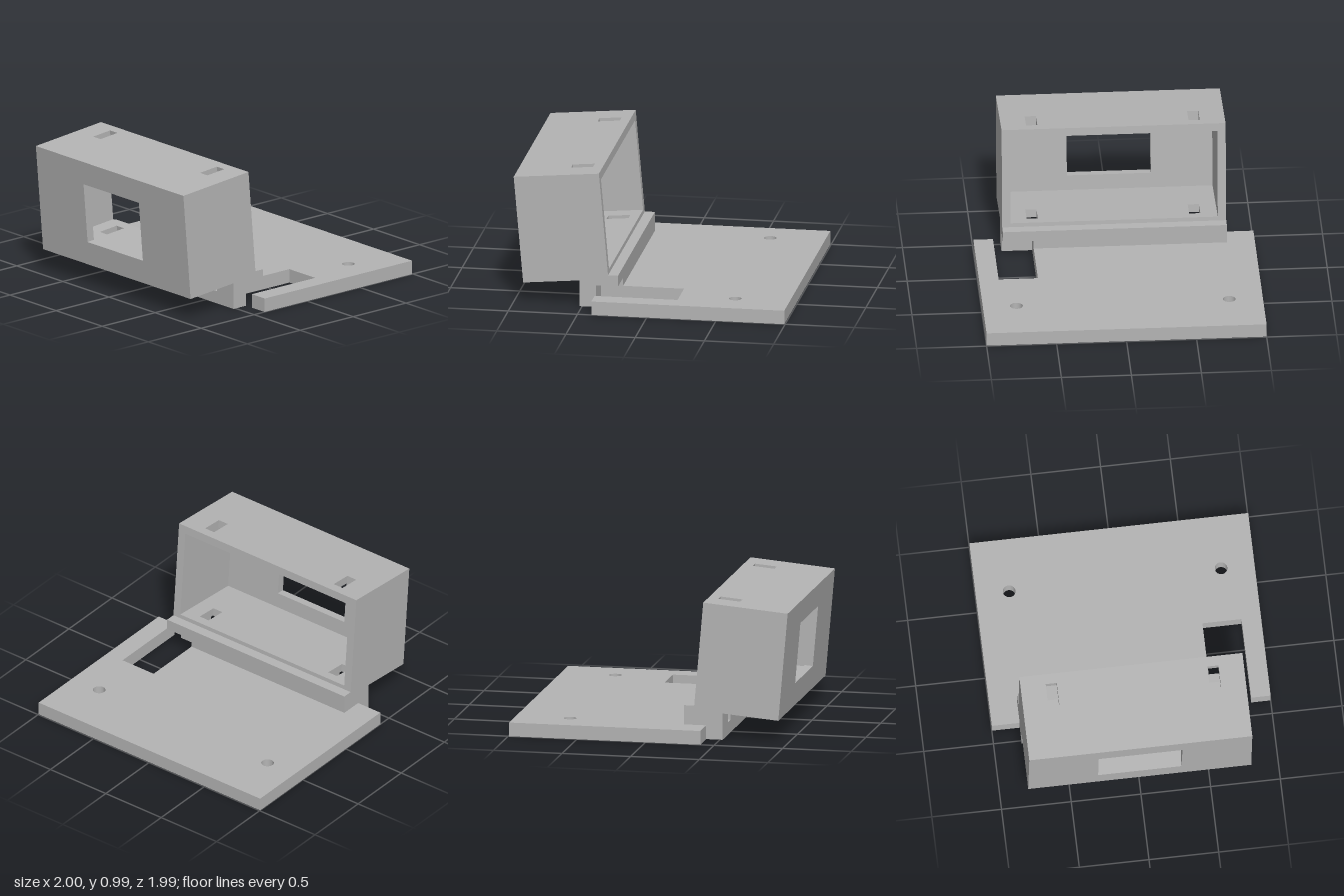
import * as THREE from 'three';

const TILT = THREE.MathUtils.degToRad(5);
const PIVOT = { y: 0.21, z: 0.31 };            // lower back edge of the tilted housing
const W = 0.8, H = 0.786, D = 0.618, T = 0.06; // housing half width, height, depth, wall
const SLOT = { x0: 0.54, x1: 0.62, back: 0.072, front: 0.232, drop: -0.1 };

const poly = (pts) => new THREE.Shape(pts.map(([a, b]) => new THREE.Vector2(a, b)));
const rect = (x0, y0, x1, y1) => poly([[x0, y0], [x1, y0], [x1, y1], [x0, y1]]);
const extrude = (shape, depth) =>
  new THREE.ExtrudeGeometry(shape, { depth, bevelEnabled: false, curveSegments: 24 });

// shape drawn in x/z, thickness hanging down from yTop
const slab = (shape, yTop, thick) =>
  extrude(shape, thick).rotateX(Math.PI / 2).translate(0, yTop, 0);

// cross-section drawn in z/y, swept from x0 to x1
const sweep = (pts, x0, x1) =>
  extrude(poly(pts), x1 - x0).rotateY(-Math.PI / 2).translate(x1, 0, 0);

// point of the tilted housing frame (depth w, height v) as [z, y]
const tilted = (w, v) => [
  PIVOT.z + w * Math.cos(TILT) + v * Math.sin(TILT),
  PIVOT.y - w * Math.sin(TILT) + v * Math.cos(TILT),
];

export function createModel() {
  const model = new THREE.Group();
  model.name = 'tiltedDisplayMount';
  const grey = new THREE.MeshStandardMaterial({ color: 0xb4b4b4 });
  grey.name = 'grey plastic';
  const add = (parent, name, geometry) => {
    const mesh = new THREE.Mesh(geometry, grey);
    mesh.name = name;
    parent.add(mesh);
  };

  // Base plate with cable notch and two screw holes
  const base = poly([
    [-1, -0.994], [1, -0.994], [1, 0.4], [0.86, 0.4],
    [0.86, -0.2], [0.58, -0.2], [0.58, 0.4], [-1, 0.4],
  ]);
  for (const x of [-0.76, 0.76]) {
    base.holes.push(new THREE.Path().absarc(x, -0.6, 0.045, 0, Math.PI * 2));
  }
  add(model, 'basePlate', slab(base, 0.1, 0.1));

  // Support ledge, swept in sections so the strap slots and the notch stay open
  const support = new THREE.Group();
  support.name = 'support';
  model.add(support);
  const wFront = (0.52 - PIVOT.z) / Math.cos(TILT);
  const seatFront = [0.52, tilted(wFront, 0)[1]];
  const slotFront = [0.52, tilted(wFront, SLOT.drop)[1]];
  const slotBack = tilted(SLOT.back, SLOT.drop);
  const slotTop = tilted(SLOT.back, 0);
  const lip = [tilted(0, 0), tilted(0, 0.03), [0.24, 0.24]];
  const foot = [[0.24, 0.1], [0.4, 0.1], [0.4, 0]];
  const notched = [[0.24, 0.16], [0.4, 0.16], [0.4, 0]];

  const solid = [[0.52, 0], seatFront, ...lip, ...foot];
  const slotted = [[0.52, 0], slotFront, slotBack, slotTop, ...lip, ...foot];
  add(support, 'ledgeRight', sweep(solid, -W, -SLOT.x1));
  add(support, 'ledgeSlotRight', sweep(slotted, -SLOT.x1, -SLOT.x0));
  add(support, 'ledgeMiddle', sweep(solid, -SLOT.x0, SLOT.x0));
  add(support, 'ledgeSlotLeft', sweep(slotted, SLOT.x0, 0.58));
  const slotZ = slotBack[0] + (0.16 - slotBack[1]) * Math.tan(TILT);
  add(support, 'notchLip', sweep([[slotZ, 0.16], slotTop, ...lip, [0.24, 0.16]], 0.58, SLOT.x1));
  add(support, 'notchFoot', sweep([[0.52, 0], slotFront, [0.4, 0.102], [0.4, 0]], 0.58, SLOT.x1));
  add(support, 'ledgeLeft', sweep([[0.52, 0], seatFront, ...lip, ...notched], SLOT.x1, W));

  // Tilted housing, open at the back
  const housing = new THREE.Group();
  housing.name = 'housing';
  housing.position.set(0, PIVOT.y, PIVOT.z);
  housing.rotation.x = TILT;
  model.add(housing);

  // Floor and roof with strap slots
  const panel = rect(-W, 0, W, D);
  for (const x of [-SLOT.x1, SLOT.x0]) {
    panel.holes.push(rect(x, SLOT.back, x + SLOT.x1 - SLOT.x0, SLOT.front));
  }
  add(housing, 'floor', slab(panel, T, T));
  add(housing, 'roof', slab(panel, H, T));

  // Side walls
  for (const [name, side] of [['leftWall', 1], ['rightWall', -1]]) {
    add(housing, name, new THREE.BoxGeometry(T, H - 2 * T, D)
      .translate(side * (W - T / 2), H / 2, D / 2));
  }

  // Front wall with window
  const front = rect(-W + T, T, W - T, H - T);
  front.holes.push(rect(-0.3, 0.173, 0.3, 0.614));
  add(housing, 'frontWall', extrude(front, T).translate(0, 0, D - T));

  return model;
}
